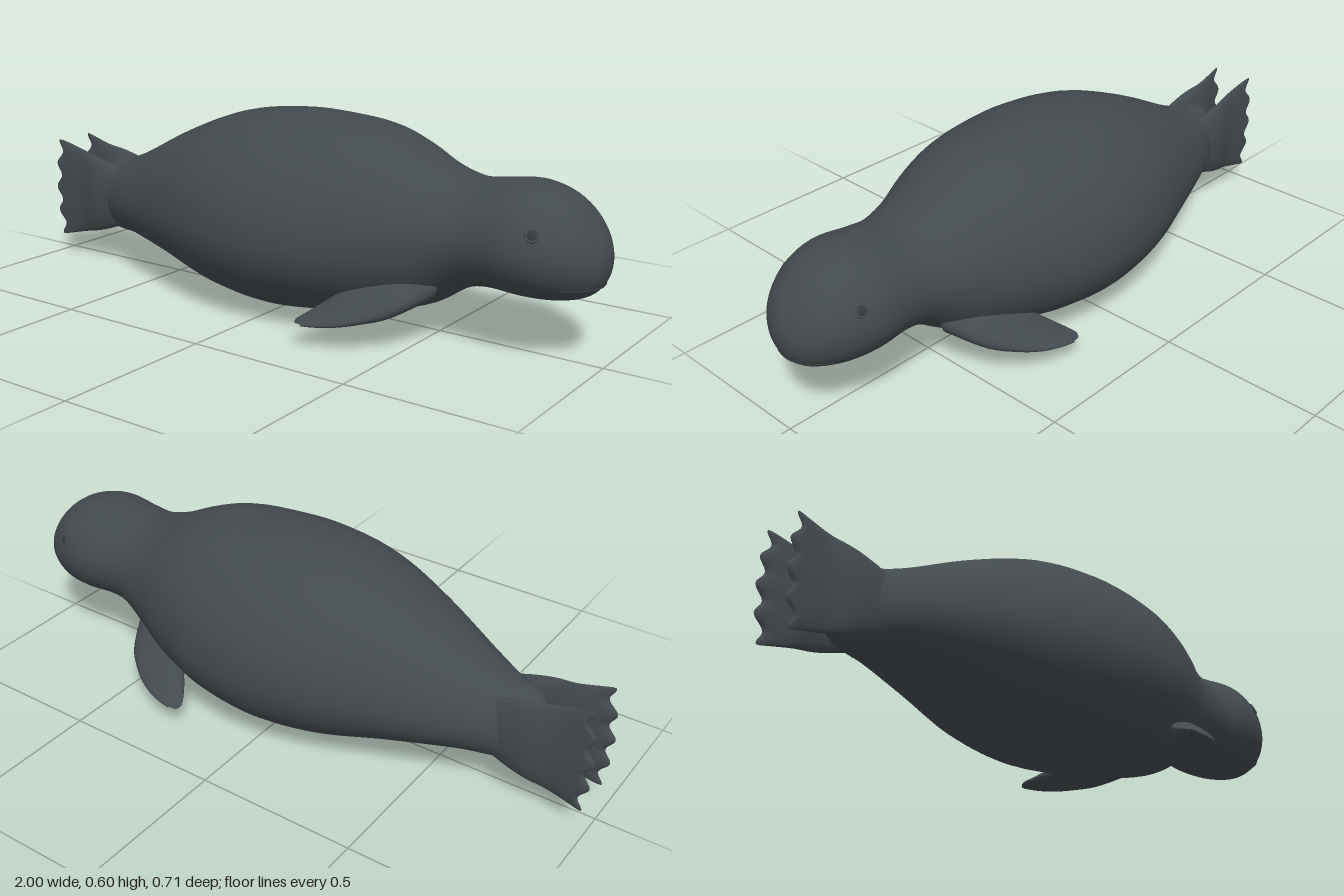
import * as THREE from 'three';
import { mergeVertices } from 'three/addons/utils/BufferGeometryUtils.js';

const V = (x, y, z) => new THREE.Vector3(x, y, z);

// Smooth skin through a list of rings (equal point counts), with extra rings interpolated along the length
function loft(rings, steps) {
  const n = rings[0].length, pos = [], idx = [];
  const curves = rings[0].map((_, j) => new THREE.CatmullRomCurve3(rings.map(r => r[j]), false, 'catmullrom', 0.5));
  for (let i = 0; i <= steps; i++) curves.forEach(c => pos.push(...c.getPoint(i / steps).toArray()));
  for (let i = 0; i < steps; i++) for (let j = 0; j < n; j++) {
    const a = i * n + j, b = i * n + (j + 1) % n;
    idx.push(a, b, a + n, b, b + n, a + n);
  }
  // Turn the faces outwards if the signed volume about the centre is negative
  const p = k => V(pos[3 * k], pos[3 * k + 1], pos[3 * k + 2]);
  const mid = V(0, 0, 0);
  for (let k = 0; k < pos.length / 3; k++) mid.add(p(k));
  mid.divideScalar(pos.length / 3);
  let vol = 0;
  for (let k = 0; k < idx.length; k += 3) {
    const [a, b, c] = [0, 1, 2].map(m => p(idx[k + m]).sub(mid));
    vol += a.dot(b.cross(c));
  }
  if (vol < 0) idx.reverse();
  let g = new THREE.BufferGeometry();
  g.setAttribute('position', new THREE.Float32BufferAttribute(pos, 3));
  g.setIndex(idx);
  g = mergeVertices(g, 1e-5);
  g.computeVertexNormals();
  return g;
}

const ring = (n, f) => Array.from({ length: n }, (_, j) => f(j / n * Math.PI * 2));

// Body and head: x, bottom, top, half width, height of the widest point
const BODY = [
  [-0.84, 0.23, 0.23, 0, 0.23],
  [-0.82, 0.15, 0.31, 0.035, 0.23],
  [-0.77, 0.115, 0.35, 0.075, 0.23],
  [-0.70, 0.11, 0.362, 0.115, 0.23],
  [-0.60, 0.108, 0.40, 0.165, 0.24],
  [-0.40, 0.07, 0.50, 0.25, 0.26],
  [-0.20, 0.02, 0.575, 0.322, 0.27],
  [0.00, 0.00, 0.602, 0.352, 0.27],
  [0.18, 0.018, 0.598, 0.338, 0.27],
  [0.30, 0.038, 0.583, 0.303, 0.28],
  [0.40, 0.058, 0.547, 0.263, 0.29],
  [0.50, 0.092, 0.50, 0.213, 0.30],
  [0.60, 0.155, 0.473, 0.179, 0.315],
  [0.68, 0.173, 0.479, 0.174, 0.32],
  [0.78, 0.169, 0.49, 0.183, 0.32],
  [0.86, 0.171, 0.473, 0.168, 0.315],
  [0.92, 0.182, 0.437, 0.138, 0.31],
  [0.96, 0.2, 0.392, 0.105, 0.30],
  [0.985, 0.228, 0.35, 0.066, 0.29],
  [0.996, 0.255, 0.32, 0.033, 0.288],
  [1.0, 0.287, 0.287, 0, 0.287],
];

// Front flipper: front x, z, back x, z, height, half thickness
const FRONT = [
  [0.56, 0.13, 0.34, 0.12, 0.17, 0.06],
  [0.50, 0.235, 0.30, 0.22, 0.128, 0.045],
  [0.43, 0.297, 0.262, 0.272, 0.10, 0.027],
  [0.37, 0.33, 0.238, 0.307, 0.083, 0.016],
  [0.31, 0.349, 0.226, 0.334, 0.073, 0.009],
  [0.26, 0.357, 0.235, 0.352, 0.067, 0.003],
];

// Hind flipper: x, bottom, top, centre z, half thickness, amount of scallop
const HIND = [
  [-0.62, 0.17, 0.31, 0.06, 0.03, 0],
  [-0.72, 0.13, 0.342, 0.068, 0.031, 0],
  [-0.80, 0.105, 0.362, 0.07, 0.028, 0],
  [-0.87, 0.089, 0.376, 0.062, 0.021, 0],
  [-0.94, 0.073, 0.393, 0.064, 0.015, 0.4],
  [-0.975, 0.066, 0.40, 0.067, 0.010, 0.9],
  [-0.988, 0.066, 0.40, 0.068, 0.0, 1],
];

export function createModel() {
  const group = new THREE.Group();
  const hide = new THREE.MeshStandardMaterial({ color: 0x434a4e });
  hide.name = 'slate hide';
  const dark = new THREE.MeshStandardMaterial({ color: 0x34393c });
  dark.name = 'dark crease';
  const add = (name, geometry, material = hide) => {
    const m = new THREE.Mesh(geometry, material);
    m.name = name;
    group.add(m);
    return m;
  };

  const body = add('body', loft(BODY.map(([x, lo, hi, w, c]) => ring(64, a => {
    const s = Math.sin(a);
    return V(x, c + s * (s > 0 ? hi - c : c - lo), w * Math.cos(a));
  })), 120));

  // Where a ray from outside meets the skin
  const hit = (from, dir) => new THREE.Raycaster(from, dir.normalize()).intersectObject(body)[0];

  for (const [side, s] of [['left', -1], ['right', 1]]) {
    add(side + 'FrontFlipper', loft(FRONT.map(([fx, fz, bx, bz, y, t]) => ring(24, a => {
      const k = 0.5 + 0.5 * Math.cos(a);
      return V(bx + (fx - bx) * k, y + t * Math.sin(a), s * (bz + (fz - bz) * k));
    })), 24));

    // Hind flipper with a scalloped trailing edge
    add(side + 'HindFlipper', loft(HIND.map(([x, lo, hi, z, t, amount]) => ring(96, a => {
      const v = Math.cos(a);
      const scallop = amount * (0.02 * v * v - 0.012 * Math.cos(4 * Math.PI * v));
      return V(x + scallop, (lo + hi) / 2 + v * (hi - lo) / 2, s * (z + t * Math.sin(a)));
    })), 30));

    // Eye: a low lid ring around a small dark ball
    const e = hit(V(0.85, 0.378, s), V(0, 0, -s));
    if (e) {
      const lid = add(side + 'EyeLid', new THREE.TorusGeometry(0.016, 0.004, 8, 24));
      lid.position.copy(e.point);
      lid.quaternion.setFromUnitVectors(V(0, 0, 1), e.face.normal);
      const eye = add(side + 'Eye', new THREE.SphereGeometry(0.014, 16, 12), dark);
      eye.scale.z = 0.35;
      eye.position.copy(e.point);
      eye.quaternion.copy(lid.quaternion);
    }
  }

  // Mouth crease laid around the muzzle
  const lip = [];
  for (let i = -6; i <= 6; i++) {
    const h = hit(V(1.5, 0.226, i / 6 * 0.108), V(-1, 0, 0));
    if (h) lip.push(h.point);
  }
  add('mouth', new THREE.TubeGeometry(new THREE.CatmullRomCurve3(lip), 40, 0.0035, 8), dark);

  return group;
}
